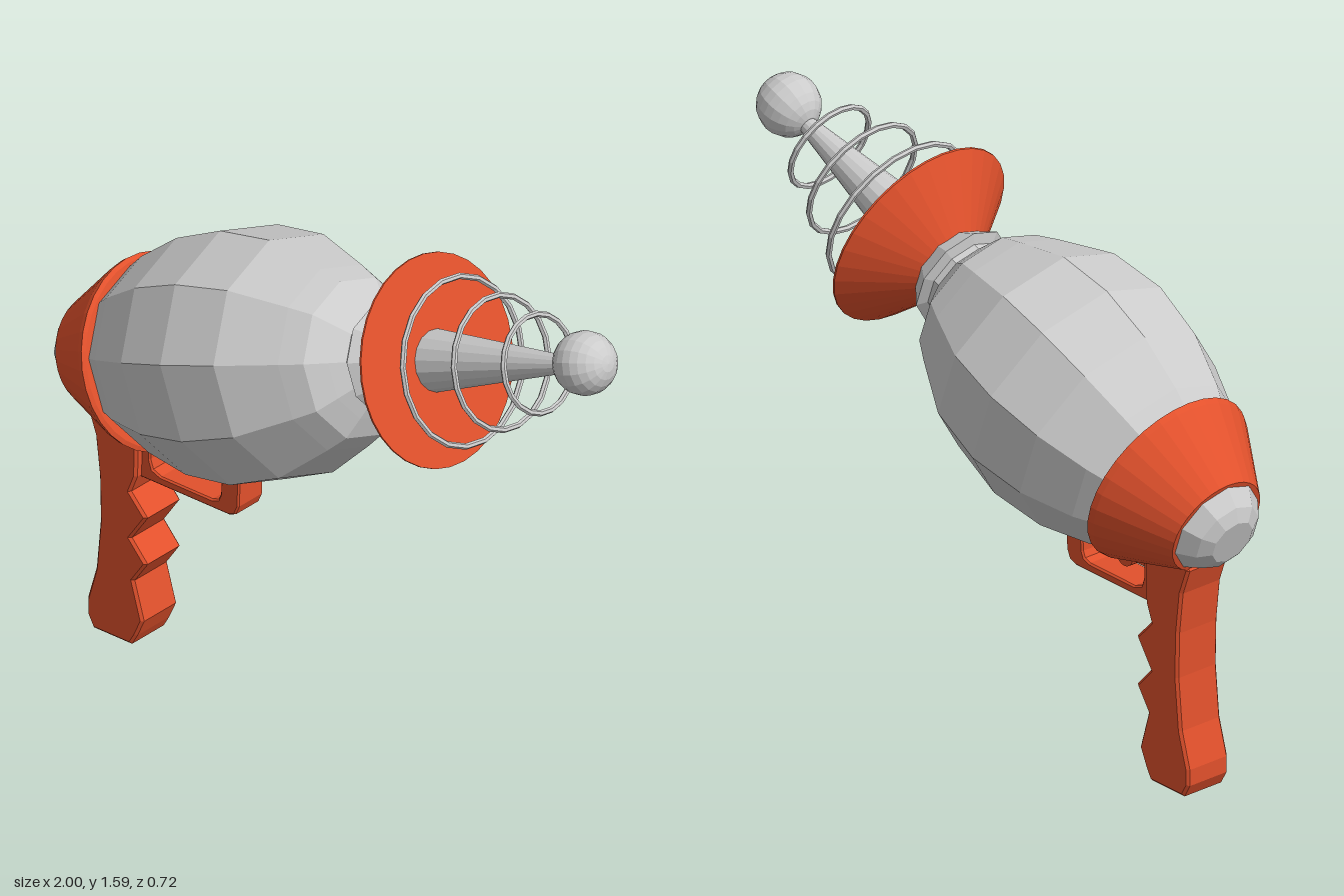
import * as THREE from 'three';

const grey = new THREE.MeshStandardMaterial({ color: 0xcccccc, flatShading: true });
const orange = new THREE.MeshStandardMaterial({ color: 0xe2512c, flatShading: true });

function add(parent, name, geometry, material) {
  const mesh = new THREE.Mesh(geometry, material);
  mesh.name = name;
  parent.add(mesh);
  return mesh;
}

// Turned part: profile is a list of [radius, distance along the axis], back to front
function turned(profile, sides, phase = 0) {
  return new THREE.LatheGeometry(profile.map(([r, t]) => new THREE.Vector2(r, t)), sides, phase);
}

// Side outline extruded to a given width, centred on z
function plate(shape, width, bevel) {
  const geometry = new THREE.ExtrudeGeometry(shape, {
    depth: width - 2 * bevel, bevelEnabled: bevel > 0, bevelSize: bevel,
    bevelThickness: bevel, bevelOffset: -bevel, bevelSegments: 1, curveSegments: 6,
  });
  return geometry.translate(0, 0, bevel - width / 2);
}

const outline = (points) => new THREE.Shape(points.map(([x, y]) => new THREE.Vector2(x, y)));

export function createModel() {
  const model = new THREE.Group();
  model.name = 'rayGun';

  // Everything turned shares one tilted axis (local +y points to the muzzle)
  const barrel = new THREE.Group();
  barrel.name = 'barrelAssembly';
  barrel.position.set(-0.7, 0.92, 0);
  barrel.rotation.z = -THREE.MathUtils.degToRad(70.5);
  model.add(barrel);

  // Ten-sided bulbous body with tail and neck flange
  add(barrel, 'body', turned([
    [0, -0.298], [0.072, -0.298], [0.112, -0.275], [0.148, -0.225], [0.2, -0.1],
    [0.29, 0.06], [0.35, 0.22], [0.376, 0.4], [0.352, 0.585], [0.268, 0.755],
    [0.232, 0.82], [0.175, 0.86], [0.13, 0.89], [0.13, 0.91], [0.162, 0.922],
    [0.118, 0.98], [0, 0.98],
  ], 10, Math.PI / 10), grey);

  // Rear collar with a thin lip
  add(barrel, 'rearCollar', turned([
    [0, -0.225], [0.157, -0.225], [0.277, -0.018], [0.283, 0.0], [0.27, 0.006], [0, 0.006],
  ], 32), orange);

  // Conical dish closed by a flat front
  add(barrel, 'dish', turned([
    [0, 0.972], [0.118, 0.972], [0.305, 1.112], [0.305, 1.118], [0, 1.118],
  ], 32), orange);

  // Tapered rod, three shrinking rings and the ball tip
  add(barrel, 'rod', turned([[0, 1.1], [0.092, 1.1], [0.02, 1.66], [0, 1.66]], 16), grey);
  [[0.24, 1.218], [0.19, 1.369], [0.14, 1.515]].forEach(([radius, t], i) => {
    const ring = add(barrel, 'ring' + (i + 1), new THREE.TorusGeometry(radius, 0.009, 6, 20), grey);
    ring.rotation.x = Math.PI / 2;
    ring.position.y = t;
  });
  add(barrel, 'ballTip', new THREE.SphereGeometry(0.093, 16, 12), grey).position.set(-0.006, 1.7, 0);

  // Grip with finger notches
  const grip = outline([
    [-0.85, 0], [-0.71, 0], [-0.69, 0.035], [-0.665, 0.09], [-0.7, 0.21], [-0.652, 0.28],
    [-0.71, 0.345], [-0.652, 0.43], [-0.712, 0.495], [-0.69, 0.55], [-0.685, 0.74],
    [-0.83, 0.76], [-0.872, 0.71], [-0.843, 0.63], [-0.828, 0.5], [-0.825, 0.36],
    [-0.84, 0.2], [-0.872, 0.09], [-0.872, 0.04],
  ]);
  add(model, 'grip', plate(grip, 0.152, 0.008), orange).position.z = 0.005;

  // Trigger guard loop
  const guard = outline([
    [-0.71, 0.54], [-0.37, 0.54], [-0.345, 0.55], [-0.332, 0.58], [-0.33, 0.71],
    [-0.395, 0.7], [-0.4, 0.595], [-0.408, 0.576], [-0.43, 0.568], [-0.62, 0.568],
    [-0.65, 0.58], [-0.66, 0.61], [-0.655, 0.72], [-0.71, 0.72],
  ]);
  add(model, 'triggerGuard', plate(guard, 0.106, 0.005), orange).position.z = 0.003;

  // Trigger: short stem ending in a crescent open to the front
  const trigger = new THREE.Shape();
  trigger.moveTo(-0.7, 0.626);
  trigger.lineTo(-0.583, 0.626);
  trigger.absarc(-0.55, 0.632, 0.035, Math.PI * 1.05, Math.PI * 1.8, false);
  trigger.quadraticCurveTo(-0.565, 0.632, -0.522, 0.653);
  trigger.absarc(-0.55, 0.632, 0.035, Math.PI * 0.2, Math.PI * 0.9, false);
  trigger.lineTo(-0.7, 0.643);
  add(model, 'trigger', plate(trigger, 0.05, 0), orange);

  return model;
}
